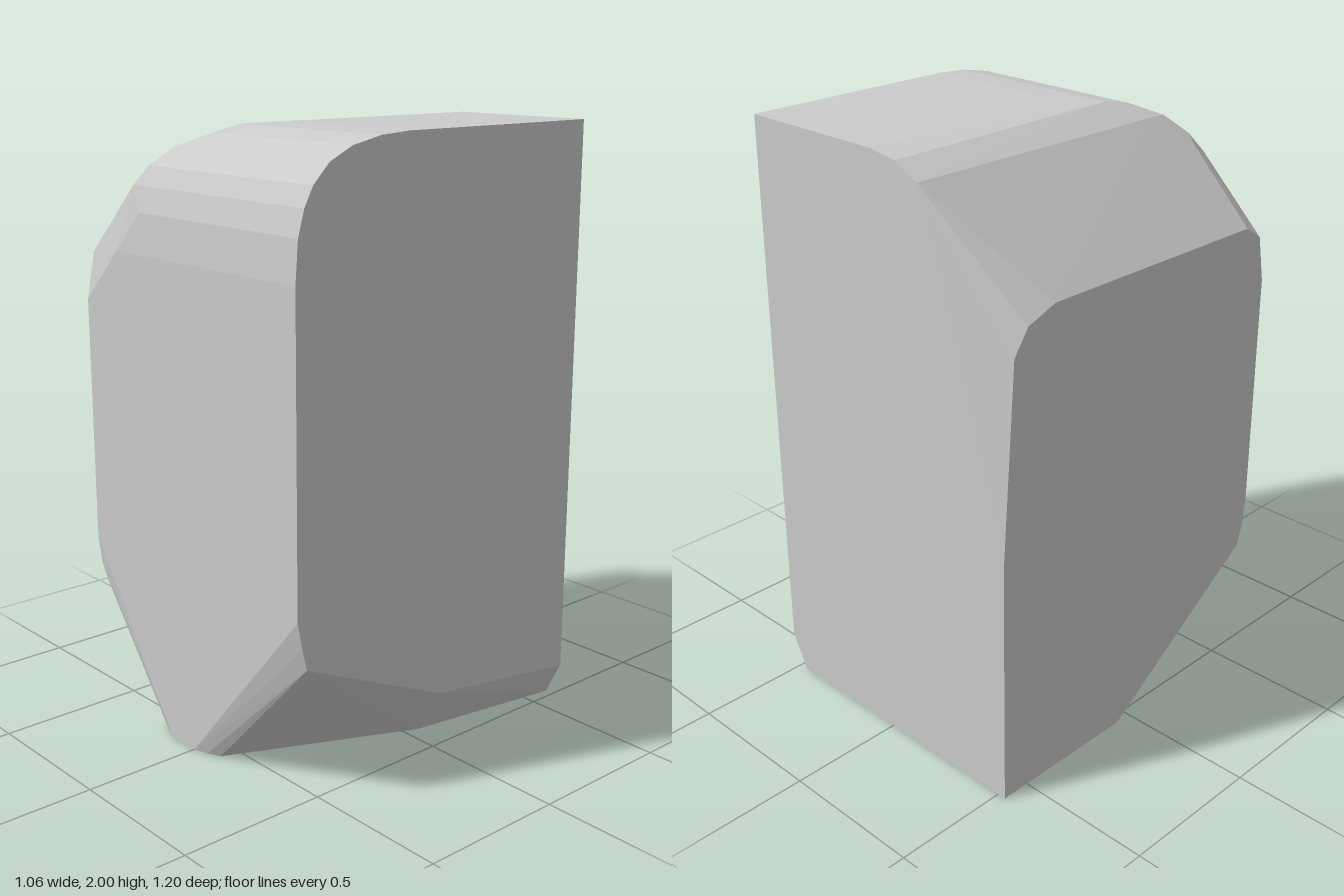
import * as THREE from 'three';
import { ConvexGeometry } from 'three/addons/geometries/ConvexGeometry.js';

export function createModel() {
  const group = new THREE.Group();
  group.name = 'stoneBlock';
  const stone = new THREE.MeshStandardMaterial({ color: 0xcccccc, flatShading: true });
  stone.name = 'stone grey';

  const points = [];
  const add = (...list) => list.forEach(([x, y, z]) => points.push(new THREE.Vector3(x, y, z)));

  // rounded front-top edge: [y, z, x where the band ends on the left]
  const round = [
    [1.6, 0.6, -0.35], [1.73, 0.59, -0.23], [1.81, 0.567, -0.29], [1.87, 0.535, -0.25],
    [1.93, 0.475, -0.19], [1.97, 0.39, -0.11], [1.993, 0.28, -0.11], [2, 0.17, 0],
  ];
  for (const [y, z, end] of round) add([0.53, y, z], [end, y, z]);

  // back edge of the top
  add([0.53, 2, -0.6], [0, 2, -0.6], [-0.11, 1.985, -0.6], [-0.2, 1.94, -0.6]);

  // sloped left shoulder, with its worn front and back corners
  add(
    [-0.21, 1.94, 0.4], [-0.3, 1.85, 0.5], [-0.53, 1.62, 0.5], [-0.53, 1.575, 0.57], [-0.53, 1.42, 0.6],
    [-0.53, 1.62, -0.39], [-0.53, 1.58, -0.5], [-0.53, 1.5, -0.555], [-0.53, 0.84, -0.6],
  );

  // lower right chamfer
  add(
    [0.53, 0.61, 0.6], [0.53, 0.52, 0.582], [0.53, 0.45, 0.565], [0.53, 0.2, 0], [0.53, 0.12, -0.6],
  );

  // lower left chamfer
  add([-0.53, 0.6, 0.6], [-0.53, 0.5, 0.588], [-0.53, 0.43, 0.567]);

  // outline of the base
  const base = [
    [0.47, -0.6], [0.38, -0.05], [0.095, 0.565], [0.05, 0.585], [0, 0.6],
    [-0.12, 0.6], [-0.2, 0.567], [-0.53, -0.06], [-0.53, -0.6],
  ];
  for (const [x, z] of base) add([x, 0, z]);

  const block = new THREE.Mesh(new ConvexGeometry(points), stone);
  block.name = 'chiselledBlock';
  group.add(block);
  return group;
}
